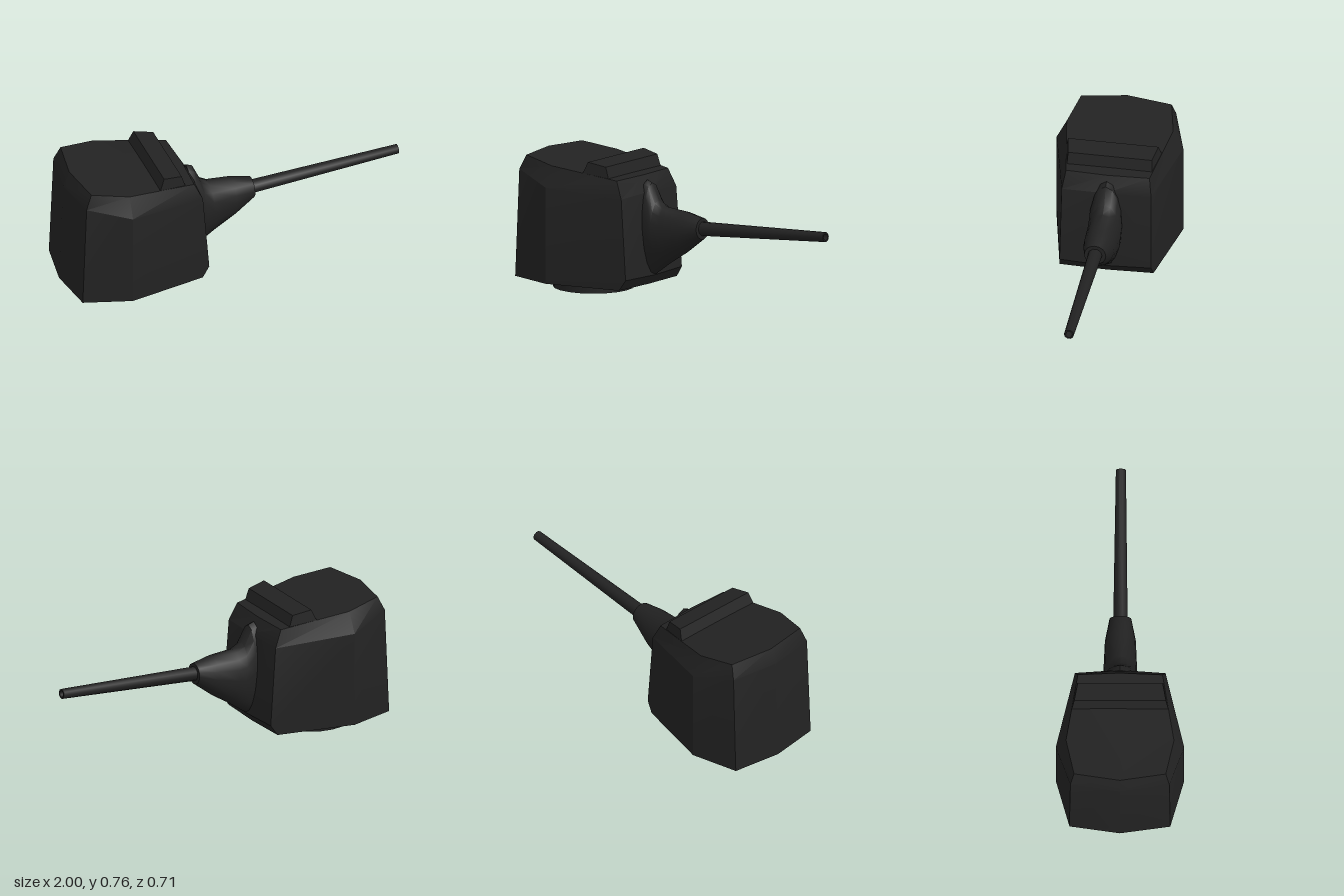
import * as THREE from 'three';
import { toCreasedNormals } from 'three/addons/utils/BufferGeometryUtils.js';

const steel = new THREE.MeshStandardMaterial({ color: 0x222222 });
const steelOpen = new THREE.MeshStandardMaterial({ color: 0x222222, side: THREE.DoubleSide });

// Skin through rings of points, with both ends capped by fans
function loft(rings, crease) {
  const n = rings[0].length;
  const index = [];
  const last = (rings.length - 1) * n;
  for (let r = 0; r < rings.length - 1; r++) {
    for (let i = 0; i < n; i++) {
      const a = r * n + i, b = r * n + (i + 1) % n;
      index.push(a, b, b + n, a, b + n, a + n);
    }
  }
  for (let i = 1; i < n - 1; i++) {
    index.push(0, i + 1, i, last, last + i, last + i + 1);
  }
  const geo = new THREE.BufferGeometry();
  geo.setAttribute('position', new THREE.Float32BufferAttribute(rings.flat(2), 3));
  geo.setIndex(index);
  return toCreasedNormals(geo, crease);
}

// Complete a half outline (+z side) with its mirror image
function mirrorRing(half) {
  const other = half.filter(p => p[2] > 0).reverse().map(([x, y, z]) => [x, y, -z]);
  return [...half, ...other];
}

export function createModel() {
  const group = new THREE.Group();
  const add = (name, geo, mat = steel) => {
    const mesh = new THREE.Mesh(geo, mat);
    mesh.name = name;
    group.add(mesh);
    return mesh;
  };

  // Gunhouse: each ring runs back centre, back corner, widest, front corner, front centre
  add('gunhouse', loft([
    [[-1, 0.06, 0], [-0.96, 0.06, 0.28], [-0.69, 0.06, 0.357], [-0.245, 0.06, 0.265], [-0.235, 0.06, 0]],
    [[-0.997, 0.12, 0], [-0.957, 0.12, 0.28], [-0.69, 0.12, 0.357], [-0.205, 0.12, 0.258], [-0.195, 0.115, 0]],
    [[-0.975, 0.67, 0], [-0.935, 0.67, 0.275], [-0.69, 0.605, 0.357], [-0.24, 0.575, 0.252], [-0.225, 0.585, 0]],
    [[-0.94, 0.755, 0], [-0.9, 0.75, 0.255], [-0.69, 0.72, 0.3], [-0.285, 0.672, 0.235], [-0.275, 0.672, 0]],
  ].map(mirrorRing), 0.4));

  // Raised sight hood across the roof
  add('roofHood', loft([
    [[-0.5, 0.69, 0.27], [-0.335, 0.665, 0.24]],
    [[-0.47, 0.76, 0.255], [-0.36, 0.742, 0.236]],
  ].map(mirrorRing), 0.3));

  // Open turret ring underneath
  const ring = add('turretRing', toCreasedNormals(
    new THREE.CylinderGeometry(0.227, 0.227, 0.065, 20, 1, true), 0.6), steelOpen);
  ring.position.set(-0.625, 0.0325, 0);

  // Gun mantlet: top x, top y, bottom x, bottom y, half width
  const stations = [
    [-0.25, 0.648, -0.22, 0.105, 0.09],
    [-0.215, 0.635, -0.19, 0.12, 0.093],
    [-0.17, 0.54, -0.14, 0.155, 0.094],
    [-0.12, 0.512, -0.09, 0.192, 0.092],
    [0.02, 0.5, 0.02, 0.262, 0.086],
    [0.135, 0.475, 0.14, 0.356, 0.061],
  ];
  add('mantlet', loft(stations.map(([tx, ty, bx, by, w]) =>
    Array.from({ length: 16 }, (_, i) => {
      const a = i / 16 * Math.PI * 2;
      const t = (1 + Math.cos(a)) / 2;
      return [bx + (tx - bx) * t, by + (ty - by) * t, w * Math.sin(a)];
    })), 0.7));

  // Tapered barrel with a bored muzzle
  const length = 0.877;
  const profile = [[0.04, 0], [0.028, length], [0.019, length], [0.019, length - 0.1], [0, length - 0.1]]
    .map(([r, y]) => new THREE.Vector2(r, y));
  const barrel = add('barrel', toCreasedNormals(new THREE.LatheGeometry(profile, 10), 0.8), steelOpen);
  barrel.position.set(0.123, 0.415, 0);
  barrel.rotation.z = -Math.PI / 2 + 0.067;

  return group;
}
